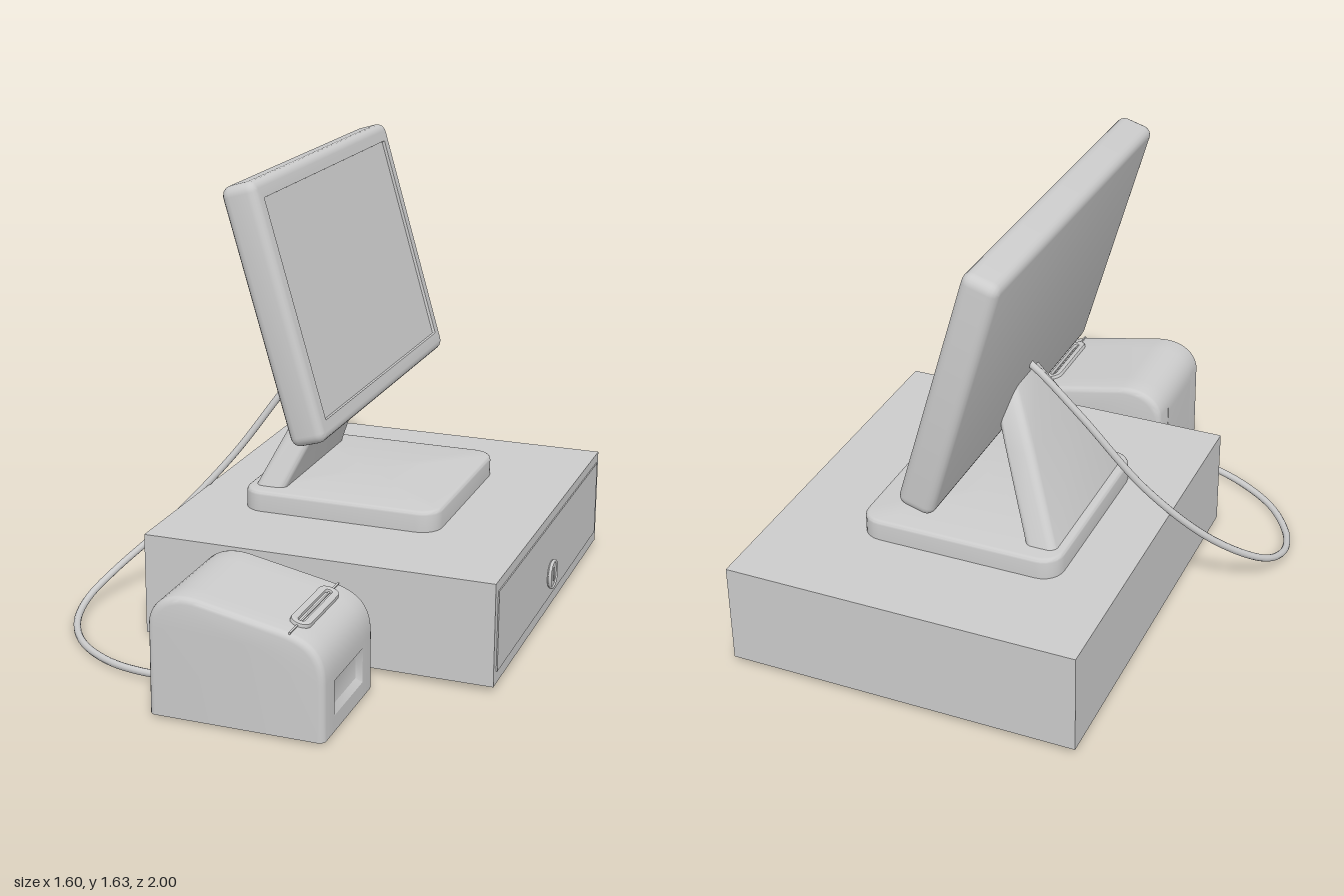
import * as THREE from 'three';
import { toCreasedNormals } from 'three/addons/utils/BufferGeometryUtils.js';

const grey = new THREE.MeshStandardMaterial({ color: 0xcccccc });
const greyDouble = new THREE.MeshStandardMaterial({ color: 0xcccccc, side: THREE.DoubleSide });

function add(parent, name, geometry, position = [0, 0, 0], material = grey) {
  const mesh = new THREE.Mesh(geometry, material);
  mesh.name = name;
  mesh.position.set(...position);
  parent.add(mesh);
  return mesh;
}

// Joins equal-sized convex rings (anticlockwise seen from +z) and caps both ends
function loft(rings) {
  const n = rings[0].length;
  const verts = rings.flat();
  const index = [];
  for (let i = 0; i < rings.length - 1; i++) {
    for (let j = 0; j < n; j++) {
      const k = (j + 1) % n, a = i * n + j, b = i * n + k;
      index.push(a, b, b + n, a, b + n, a + n);
    }
  }
  [rings[0], rings[rings.length - 1]].forEach((ring, end) => {
    const c = verts.length, base = end ? (rings.length - 1) * n : 0;
    verts.push(ring.reduce((s, p) => s.map((v, q) => v + p[q] / n), [0, 0, 0]));
    for (let j = 0; j < n; j++) {
      const k = (j + 1) % n;
      index.push(c, base + (end ? j : k), base + (end ? k : j));
    }
  });
  const g = new THREE.BufferGeometry();
  g.setAttribute('position', new THREE.Float32BufferAttribute(verts.flat(), 3));
  g.setIndex(index);
  return toCreasedNormals(g, 0.6);
}

// Rounded rectangle ring at depth z, shifted by cx
function rectRing(w, h, r, z, cx = 0) {
  const pts = [], steps = 6;
  for (let q = 0; q < 4; q++) {
    const sx = q === 0 || q === 3 ? 1 : -1, sy = q < 2 ? 1 : -1;
    for (let i = 0; i <= steps; i++) {
      const a = (q + i / steps) * Math.PI / 2;
      pts.push([cx + sx * (w / 2 - r) + r * Math.cos(a), sy * (h / 2 - r) + r * Math.sin(a), z]);
    }
  }
  return pts;
}

// Quarter-round steps as [inset, depth from the end]
const rounding = (r) => [0, 1, 2, 3, 4].map((i) => {
  const a = i / 4 * Math.PI / 2;
  return [r * (1 - Math.sin(a)), r * (1 - Math.cos(a))];
});

function stadium(target, w, h) {
  const r = w / 2, s = h / 2 - r;
  target.absarc(0, s, r, 0, Math.PI, false);
  target.absarc(0, -s, r, Math.PI, 2 * Math.PI, false);
  target.closePath();
  return target;
}

function cashDrawer() {
  const g = new THREE.Group();
  g.name = 'cashDrawer';
  // Shell, open underneath
  const shell = new THREE.BoxGeometry(1.26, 0.365, 1.44);
  shell.setIndex([...shell.index.array].filter((_, i) => i < 18 || i >= 24));
  add(g, 'drawerShell', shell, [0.153, 0.2025, -0.28], greyDouble);
  add(g, 'drawerFront', new THREE.BoxGeometry(0.008, 0.285, 1.38), [0.783, 0.207, -0.28]);
  // Key lock
  const disc = (r, d) => new THREE.CylinderGeometry(r, r, d, 32).rotateZ(-Math.PI / 2);
  add(g, 'lockBarrel', disc(0.05, 0.014), [0.79, 0.15, -0.278]);
  add(g, 'lockRim', new THREE.TorusGeometry(0.049, 0.006, 8, 32).rotateY(Math.PI / 2), [0.796, 0.15, -0.278]);
  add(g, 'keySlot', new THREE.BoxGeometry(0.004, 0.05, 0.008), [0.798, 0.15, -0.278]);
  return g;
}

function display() {
  const g = new THREE.Group();
  g.name = 'display';
  const W = 1.32, H = 0.9, T = 0.125, R = 0.03;
  const soft = rounding(R);
  const ring = (i, z) => rectRing(W - 2 * i, H - 2 * i, 0.035 - i * 0.9, z);
  // Rounded casing whose front steps back to the screen
  add(g, 'displayCasing', loft([
    ...soft.map(([i, d]) => ring(i, -T / 2 + d)),
    ...soft.slice().reverse().map(([i, d]) => ring(i, T / 2 - d)),
    rectRing(1.196, 0.768, 0.004, T / 2),
    rectRing(1.192, 0.764, 0.004, T / 2 - 0.01),
  ]));
  g.position.set(-0.02, 1.185, -0.28);
  g.rotation.set(0, Math.PI / 2, 0.285, 'ZYX');
  return g;
}

function stand() {
  const g = new THREE.Group();
  g.name = 'stand';
  const up = (geo) => geo.rotateX(-Math.PI / 2);
  // Foot plate with a softened top edge
  add(g, 'standBase', up(loft([
    rectRing(0.73, 0.735, 0.075, 0.385),
    ...rounding(0.015).reverse().map(([i, d]) => rectRing(0.73 - 2 * i, 0.735 - 2 * i, 0.075 - i, 0.46 - d)),
  ])), [0.1, 0, -0.282]);
  // Leaning, tapering neck
  add(g, 'standNeck', up(loft([
    rectRing(0.115, 0.62, 0.03, 0.45, -0.182),
    rectRing(0.108, 0.38, 0.03, 0.74, -0.052),
    rectRing(0.1, 0.2, 0.03, 0.94, 0.042),
    rectRing(0.07, 0.12, 0.03, 0.975, 0.05),
  ])), [0, 0, -0.28]);
  return g;
}

function receiptPrinter() {
  const g = new THREE.Group();
  g.name = 'receiptPrinter';
  // Side profile, with an optional notch for the front window
  const profile = (notched) => {
    const s = new THREE.Shape();
    s.moveTo(-0.2, 0.01);
    s.lineTo(0.4, 0.01);
    if (notched) [[0.4, 0.065], [0.37, 0.065], [0.37, 0.185], [0.4, 0.185]].forEach((p) => s.lineTo(...p));
    s.lineTo(0.4, 0.205);
    s.bezierCurveTo(0.4, 0.3, 0.36, 0.345, 0.26, 0.366);
    s.lineTo(-0.03, 0.424);
    s.bezierCurveTo(-0.11, 0.44, -0.2, 0.41, -0.2, 0.31);
    return s;
  };
  const pts = profile(false).getPoints(12).slice(0, -1);
  const section = (inset, z) => pts.map((p) => [
    0.1 + (p.x - 0.1) * (1 - inset / 0.3), 0.01 + (p.y - 0.01) * (1 - inset / 0.42), z]);
  const soft = rounding(0.022);
  add(g, 'printerRearSide', loft([...soft.map(([i, d]) => section(i, 0.55 + d)), section(0, 0.645)]));
  add(g, 'printerFrontSide', loft([section(0, 0.905), ...soft.slice().reverse().map(([i, d]) => section(i, 1 - d))]));
  const middle = new THREE.ExtrudeGeometry(profile(true), { depth: 0.26, bevelEnabled: false, curveSegments: 12 });
  add(g, 'printerMiddle', toCreasedNormals(middle, 0.6), [0, 0, 0.645]);
  // Recessed window with sloping sides
  const win = loft([rectRing(0.26, 0.12, 0.001, -0.02), rectRing(0.26, 0.12, 0.001, 0),
    rectRing(0.22, 0.08, 0.001, -0.018)]);
  add(g, 'printerWindow', win.rotateY(Math.PI / 2), [0.4, 0.125, 0.775]);
  // Paper slot surround and lid seam on the sloping top
  const slot = new THREE.Group();
  slot.name = 'paperSlot';
  const surround = stadium(new THREE.Shape(), 0.062, 0.3);
  surround.holes.push(stadium(new THREE.Path(), 0.03, 0.268));
  add(slot, 'slotSurround', toCreasedNormals(new THREE.ExtrudeGeometry(surround, {
    depth: 0.022, bevelThickness: 0.004, bevelSize: 0.004, bevelSegments: 2, curveSegments: 8 }), 0.6), [0, 0, -0.014]);
  add(slot, 'lidSeam', new THREE.BoxGeometry(0.006, 0.43, 0.008));
  slot.position.set(0.283, 0.361, 0.775);
  slot.rotation.set(-Math.PI / 2, 0, -0.27, 'ZYX');
  g.add(slot);
  return g;
}

function cable() {
  const g = new THREE.Group();
  g.name = 'cable';
  // Drops behind the display and loops round to the printer
  const path = new THREE.CatmullRomCurve3([
    [0, 0.985, -0.28], [-0.05, 0.95, -0.28], [-0.2, 0.78, -0.25], [-0.4, 0.495, -0.165], [-0.6, 0.255, -0.03],
    [-0.75, 0.1, 0.14], [-0.785, 0.045, 0.28], [-0.755, 0.019, 0.43], [-0.65, 0.015, 0.59],
    [-0.5, 0.018, 0.7], [-0.35, 0.027, 0.755], [-0.18, 0.036, 0.77],
  ].map((p) => new THREE.Vector3(...p)));
  add(g, 'cableCord', new THREE.TubeGeometry(path, 72, 0.013, 10), [0, 0, 0], greyDouble);
  add(g, 'cablePlug', new THREE.CylinderGeometry(0.018, 0.018, 0.03, 16).rotateZ(Math.PI / 2), [-0.2, 0.036, 0.77]);
  return g;
}

export function createModel() {
  const model = new THREE.Group();
  model.name = 'pointOfSaleTerminal';
  model.add(cashDrawer(), stand(), display(), receiptPrinter(), cable());
  return model;
}
